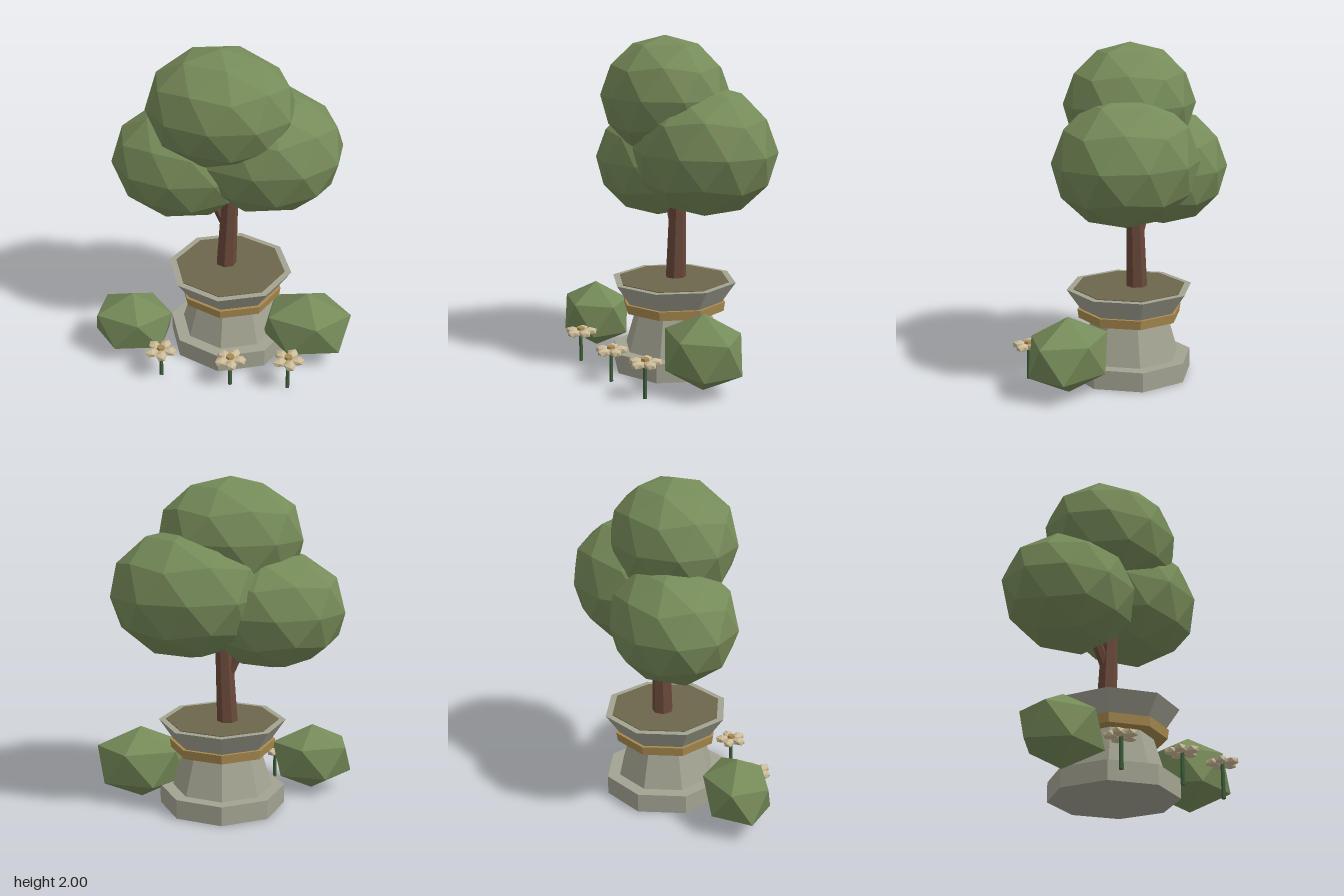
import * as THREE from 'three';

const mat = (name, color) => new THREE.MeshStandardMaterial({ name, color, flatShading: true });

export function createModel() {
  const leaf = mat('leaf green', 0x768b59);
  const stone = mat('stone grey', 0xa3a392);
  const gold = mat('ochre band', 0xa98a50);
  const soilMat = mat('soil brown', 0x6c664a);
  const bark = mat('bark brown', 0x694839);
  const petalMat = mat('petal cream', 0xcbbb98);
  const stemMat = mat('stem green', 0x3e5f3b);

  const model = new THREE.Group();
  model.name = 'plantedTree';

  const add = (parent, name, geometry, material, x = 0, y = 0, z = 0) => {
    const mesh = new THREE.Mesh(geometry, material);
    mesh.name = name;
    mesh.position.set(x, y, z);
    parent.add(mesh);
    return mesh;
  };

  // Faceted ball with a corner at each pole, scaled to an ellipsoid
  const ball = (rx, ry, rz, detail) =>
    new THREE.IcosahedronGeometry(1, detail)
      .rotateZ(-Math.atan(2 / (1 + Math.sqrt(5))))
      .scale(rx, ry, rz);

  // Tapered limb between two points
  const limb = (parent, name, from, to, r0, r1, sides, material) => {
    const a = new THREE.Vector3(...from), b = new THREE.Vector3(...to);
    const dir = b.clone().sub(a);
    const mid = a.clone().add(b).multiplyScalar(0.5);
    const mesh = add(parent, name, new THREE.CylinderGeometry(r1, r0, dir.length(), sides), material, mid.x, mid.y, mid.z);
    mesh.quaternion.setFromUnitVectors(new THREE.Vector3(0, 1, 0), dir.normalize());
    return mesh;
  };

  // Octagonal planter, stacked in tiers: name, bottom y, top y, bottom radius, top radius
  const planter = new THREE.Group();
  planter.name = 'planter';
  planter.position.set(0.018, 0, -0.034);
  model.add(planter);
  [
    ['plinth', 0.005, 0.122, 0.38, 0.38, stone],
    ['pedestal', 0.122, 0.362, 0.302, 0.232, stone],
    ['band', 0.362, 0.417, 0.312, 0.32, gold],
    ['bowl', 0.417, 0.54, 0.3, 0.384, stone],
    ['soil', 0.535, 0.544, 0.342, 0.342, soilMat],
  ].forEach(([name, y0, y1, r0, r1, material]) =>
    add(planter, name, new THREE.CylinderGeometry(r1, r0, y1 - y0, 8), material, 0, (y0 + y1) / 2, 0));

  // Trunk and side branch
  limb(model, 'trunk', [-0.014, 0.52, -0.066], [0.022, 1.3, -0.066], 0.064, 0.044, 7, bark);
  limb(model, 'branch', [0, 0.8, -0.066], [-0.17, 1.14, -0.075], 0.036, 0.026, 6, bark);

  // Crown
  [
    ['crownTop', -0.032, 1.643, -0.004, 0.44, 0.357, 0.37],
    ['crownRight', -0.28, 1.235, -0.09, 0.434, 0.355, 0.37],
    ['crownLeft', 0.205, 1.338, -0.134, 0.473, 0.388, 0.407],
  ].forEach(([name, x, y, z, rx, ry, rz]) => add(model, name, ball(rx, ry, rz, 1), leaf, x, y, z));

  // Bushes
  add(model, 'bushRight', ball(0.276, 0.21, 0.217, 0), leaf, -0.545, 0.218, 0.216);
  add(model, 'bushLeft', ball(0.302, 0.228, 0.237, 0), leaf, 0.52, 0.236, 0.06);

  // Flowers: x, z and head height
  [[-0.32, 0.432, 0.186], [0.11, 0.44, 0.19], [0.457, 0.402, 0.21]].forEach(([x, z, h]) => {
    const flower = new THREE.Group();
    flower.name = 'flower';
    flower.position.set(x, 0, z);
    model.add(flower);
    add(flower, 'stem', new THREE.CylinderGeometry(0.011, 0.013, h, 6), stemMat, 0, h / 2, 0);
    add(flower, 'flowerCentre', new THREE.CylinderGeometry(0.024, 0.027, 0.03, 6), gold, 0, h + 0.012, 0);
    for (let i = 0; i < 5; i++) {
      const a = (i * Math.PI * 2) / 5;
      const petal = add(flower, 'petal', ball(0.048, 0.026, 0.037, 0), petalMat,
        Math.cos(a) * 0.056, h, -Math.sin(a) * 0.056);
      petal.rotation.y = a;
    }
  });

  return model;
}
